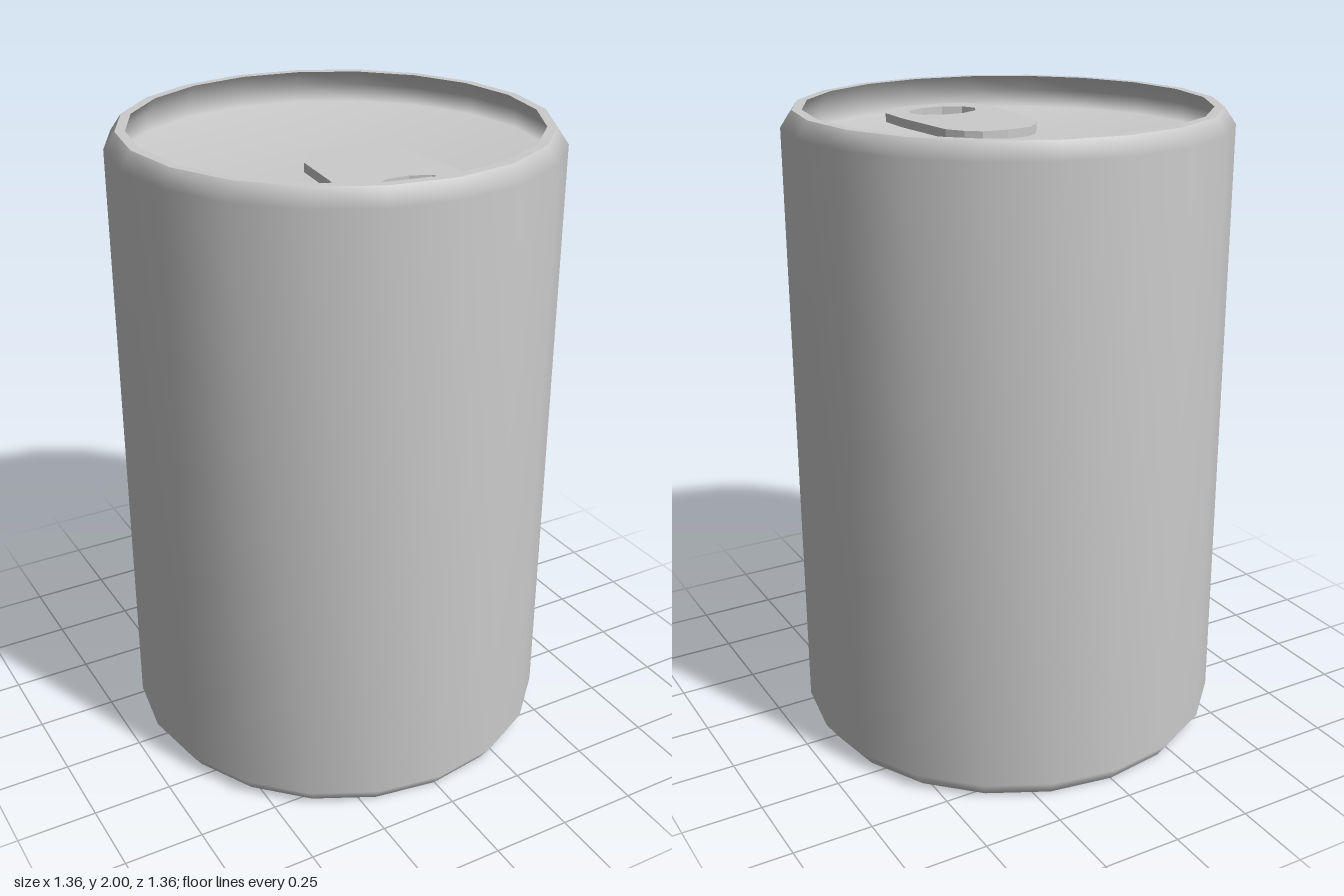
import * as THREE from 'three';
import { mergeVertices } from 'three/addons/utils/BufferGeometryUtils.js';

const SIDES = 20;
const R = 0.68, RIM = 0.645, INNER = 0.615, WALL = 0.65;
const LID_Y = 1.893, BASE_Y = 0.105;
const material = new THREE.MeshStandardMaterial({ color: 0xcccccc });

function add(group, name, geometry) {
  const mesh = new THREE.Mesh(geometry, material);
  mesh.name = name;
  group.add(mesh);
  return mesh;
}

// profile points run so that the surface faces to the right of the path;
// welding lets the large faces dominate the smooth normals
function turned(group, name, points) {
  const profile = points.map(([r, y]) => new THREE.Vector2(r, y));
  const lathe = new THREE.LatheGeometry(profile, SIDES);
  lathe.deleteAttribute('uv');
  lathe.deleteAttribute('normal');
  const geometry = mergeVertices(lathe, 1e-4);
  geometry.computeVertexNormals();
  return add(group, name, geometry);
}

function pullTab() {
  // half outline as [x, z], from the rounded back to the front
  const half = [[0, 0], [0.08, 0.01], [0.125, 0.045], [0.16, 0.1], [0.185, 0.34],
    [0.185, 0.47], [0.14, 0.54], [0.09, 0.56], [0, 0.57]];
  const mirrored = half.slice(1, -1).reverse().map(([x, z]) => [-x, z]);
  const shape = new THREE.Shape([...half, ...mirrored].map(([x, z]) => new THREE.Vector2(x, -z)));

  // ten-sided finger hole
  const hole = [];
  for (let i = 0; i < 10; i++) {
    const a = (i / 10) * Math.PI * 2;
    hole.push(new THREE.Vector2(0.118 * Math.cos(a), -0.427 + 0.081 * Math.sin(a)));
  }
  shape.holes.push(new THREE.Path(hole));

  const geometry = new THREE.ExtrudeGeometry(shape, { depth: 0.028, bevelEnabled: false });
  return geometry.rotateX(-Math.PI / 2);
}

export function createModel() {
  const can = new THREE.Group();
  can.name = 'drinkCan';

  // outer wall with softly shaded chamfers at both ends
  turned(can, 'body', [[RIM, 0], [R, 0.05], [R, 1.95], [RIM, 2]]);

  // top rim, and the lid blending into the recess wall undercut below the rim
  turned(can, 'topRim', [[RIM, 2], [INNER, 2]]);
  turned(can, 'lid', [[INNER, 2], [WALL, 1.95], [WALL, LID_Y], [0, LID_Y]]);

  // base, undercut recess wall and bottom rim
  turned(can, 'base', [[0, BASE_Y], [WALL, BASE_Y]]);
  turned(can, 'bottomRecessWall', [[WALL, BASE_Y], [WALL, 0.05], [INNER, 0]]);
  turned(can, 'bottomRim', [[INNER, 0], [RIM, 0]]);

  // tab lying on the lid
  add(can, 'pullTab', pullTab()).position.y = LID_Y;

  return can;
}
